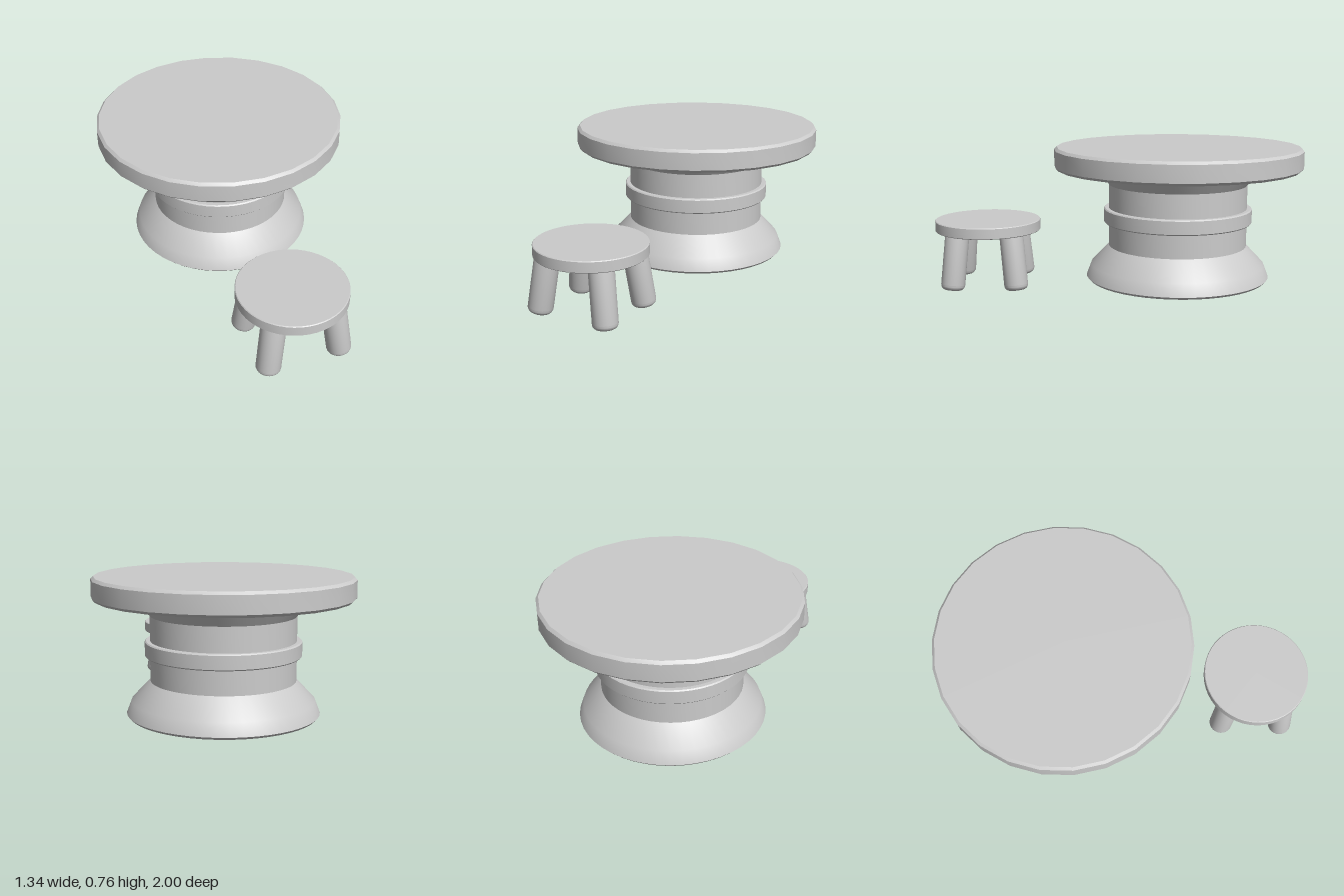
import * as THREE from 'three';
import { toCreasedNormals } from 'three/addons/utils/BufferGeometryUtils.js';

const material = new THREE.MeshStandardMaterial({ color: 0xcccccc });

// Turned part from a bottom-to-top [radius, height] profile, with crisp rims
function turned(name, profile, sides) {
  const points = profile.map(([r, y]) => new THREE.Vector2(r, y));
  const geometry = toCreasedNormals(new THREE.LatheGeometry(points, sides), 0.42);
  const mesh = new THREE.Mesh(geometry, material);
  mesh.name = name;
  return mesh;
}

// Disc with bevelled upper and lower rims
function disc(name, radius, bottom, top, bevel, sides) {
  return turned(name, [
    [0, bottom], [radius - bevel, bottom], [radius, bottom + bevel],
    [radius, top - bevel], [radius - bevel, top], [0, top],
  ], sides);
}

function createTable() {
  const table = new THREE.Group();
  table.name = 'table';
  table.add(disc('tableTop', 0.673, 0.638, 0.756, 0.014, 26));
  // Column with flared foot and conical neck
  table.add(turned('pedestal', [
    [0, 0.033], [0.488, 0.033], [0.5, 0.046], [0.475, 0.112],
    [0.377, 0.215], [0.377, 0.552], [0.438, 0.64], [0, 0.64],
  ], 48));
  table.add(disc('collar', 0.404, 0.342, 0.423, 0.006, 48));
  table.position.z = -0.327;
  return table;
}

function createStool() {
  const stool = new THREE.Group();
  stool.name = 'stool';
  stool.add(disc('seat', 0.286, 0.297, 0.357, 0.004, 48));

  // Four splayed legs with rounded feet
  const up = new THREE.Vector3(0, 1, 0);
  for (const sx of [-1, 1]) {
    for (const sz of [-1, 1]) {
      const foot = new THREE.Vector3(sx * 0.196, 0.005, sz * 0.171);
      const top = new THREE.Vector3(sx * 0.155, 0.318, sz * 0.142);
      const axis = top.clone().sub(foot);
      const profile = [[0, 0]];
      for (let i = 0; i <= 5; i++) {
        const a = (i / 5) * Math.PI / 2;
        profile.push([0.034 + 0.03 * Math.sin(a), 0.03 * (1 - Math.cos(a))]);
      }
      profile.push([0.064, axis.length()], [0, axis.length()]);
      const leg = turned('stoolLeg', profile, 24);
      leg.position.copy(foot);
      leg.quaternion.setFromUnitVectors(up, axis.normalize());
      stool.add(leg);
    }
  }
  stool.position.z = 0.714;
  return stool;
}

export function createModel() {
  const model = new THREE.Group();
  model.name = 'tableAndStool';
  model.add(createTable(), createStool());
  return model;
}
